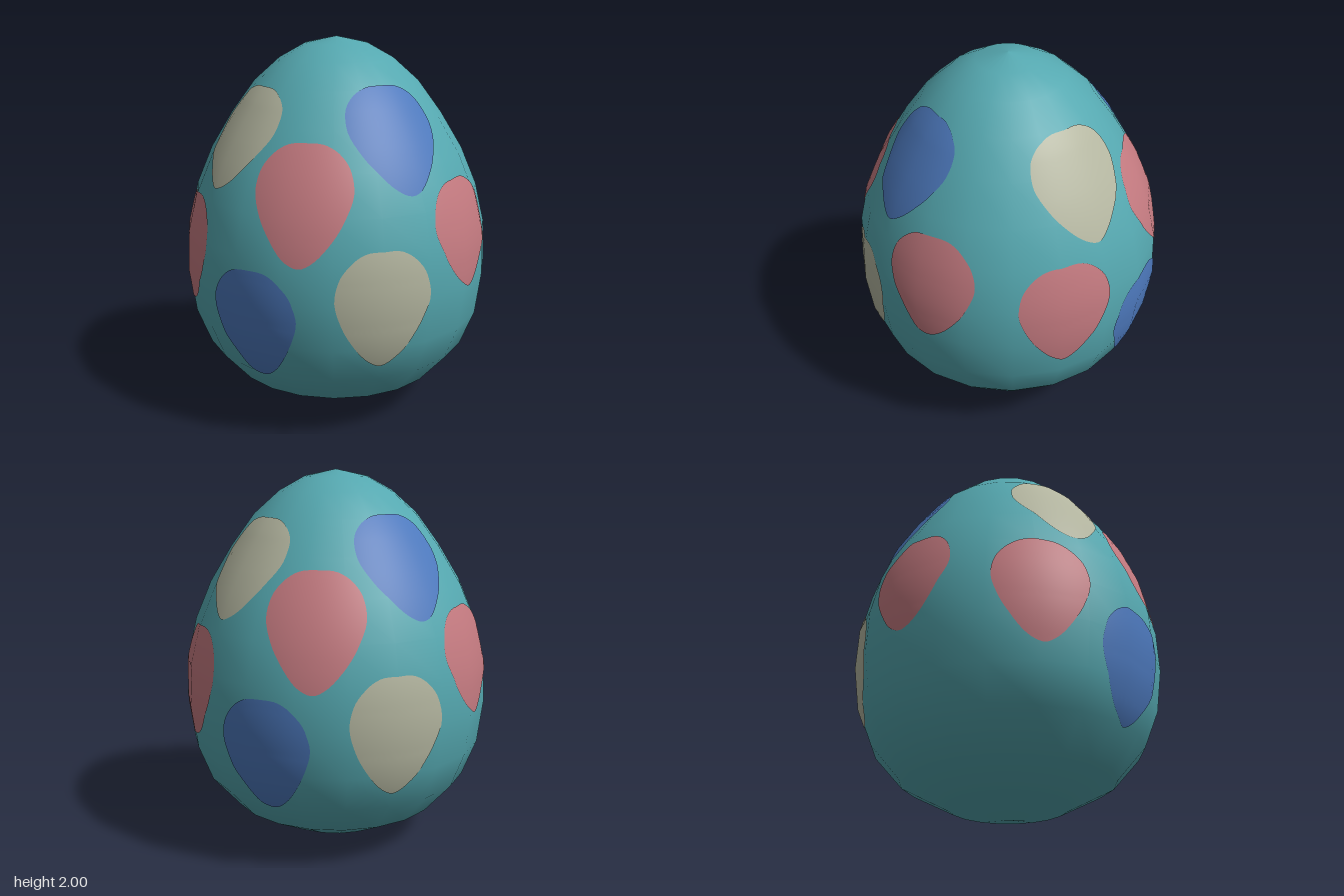
import * as THREE from 'three';

const SIDES = 20;
const LIFT = 0.005;

// Shell profile from base to tip: radius, height
const PROFILE = [
  [0, 0.003], [0.31, 0.06], [0.565, 0.19], [0.715, 0.36], [0.79, 0.55], [0.82, 0.78], [0.81, 1.0],
  [0.76, 1.21], [0.675, 1.41], [0.56, 1.6], [0.435, 1.77], [0.3, 1.89], [0.165, 1.965], [0, 2],
];

// Half outline of a spot: half width (0..1), height (0..1)
const SPOT = [[0, 0], [0.32, 0.07], [0.65, 0.24], [0.86, 0.4], [1, 0.6], [0.92, 0.77], [0.7, 0.9], [0.38, 0.985], [0, 1]];
const SPOT_HALF_WIDTH = 0.25;

// Azimuth in degrees from the front, bottom and top height; each repeats half a turn round
const SPOTS = [
  ['cream', 0, 0.45, 1.055],
  ['pink', -30, 0.975, 1.54],
  ['pink', 40, 0.775, 1.325],
  ['blue', 14, 1.29, 1.785],
  ['blue', -48.5, 0.35, 0.935],
  ['cream', -73, 1.275, 1.765],
  ['pink', 91.5, 0.64, 1.215],
];

// Shell radius at a height
function radiusAt(y) {
  let i = 1;
  while (i < PROFILE.length - 1 && PROFILE[i][1] < y) i++;
  const [r0, y0] = PROFILE[i - 1], [r1, y1] = PROFILE[i];
  return THREE.MathUtils.lerp(r0, r1, (y - y0) / (y1 - y0));
}

// Smooth outward direction of the shell
function normalAt(az, y) {
  const slope = (radiusAt(y + 0.1) - radiusAt(y - 0.1)) / 0.2;
  return new THREE.Vector3(Math.sin(az), -slope, Math.cos(az)).normalize();
}

// Point on the many-sided shell
function pointAt(az, y) {
  const step = (2 * Math.PI) / SIDES;
  const delta = THREE.MathUtils.euclideanModulo(az, step) - step / 2;
  const r = (radiusAt(y) * Math.cos(step / 2)) / Math.cos(delta);
  return new THREE.Vector3(r * Math.sin(az), y, r * Math.cos(az));
}

// Thin patch that follows the shell, built in rings from its middle
function spotGeometry(azimuth, bottom, top) {
  const rings = 10, around = 64, midT = 0.55;
  const right = SPOT.map(([w, t]) => new THREE.Vector3(w, t, 0));
  const left = SPOT.slice(1, -1).reverse().map(([w, t]) => new THREE.Vector3(-w, t, 0));
  const outline = new THREE.CatmullRomCurve3([...right, ...left], true).getPoints(around);
  const positions = [], normals = [], index = [];
  for (let j = 0; j <= rings; j++) {
    for (const p of outline) {
      const k = j / rings;
      const y = THREE.MathUtils.lerp(bottom, top, midT + (p.y - midT) * k);
      const az = azimuth + (p.x * k * SPOT_HALF_WIDTH) / radiusAt(y);
      const n = normalAt(az, y);
      positions.push(...pointAt(az, y).addScaledVector(n, LIFT).toArray());
      normals.push(...n.toArray());
    }
  }
  const row = around + 1;
  for (let j = 0; j < rings; j++) {
    for (let i = 0; i < around; i++) {
      const a = j * row + i, b = a + row;
      index.push(a, b, b + 1);
      if (j > 0) index.push(a, b + 1, a + 1);
    }
  }
  const geometry = new THREE.BufferGeometry();
  geometry.setAttribute('position', new THREE.Float32BufferAttribute(positions, 3));
  geometry.setAttribute('normal', new THREE.Float32BufferAttribute(normals, 3));
  geometry.setIndex(index);
  return geometry;
}

export function createModel() {
  const colours = { teal: 0x55a8b0, blue: 0x4d79bd, pink: 0xc47a80, cream: 0xb4b6a0 };
  const materials = {};
  for (const [name, color] of Object.entries(colours)) {
    materials[name] = new THREE.MeshStandardMaterial({ color });
    materials[name].name = name;
  }

  const egg = new THREE.Group();
  egg.name = 'egg';

  // Shell
  const points = PROFILE.map(([r, y]) => new THREE.Vector2(r, y));
  const shell = new THREE.Mesh(new THREE.LatheGeometry(points, SIDES), materials.teal);
  shell.name = 'shell';
  egg.add(shell);

  // Painted spots, in opposite pairs
  for (const [colour, degrees, bottom, top] of SPOTS) {
    for (const turn of [0, 180]) {
      const azimuth = THREE.MathUtils.degToRad(degrees + turn);
      const spot = new THREE.Mesh(spotGeometry(azimuth, bottom, top), materials[colour]);
      spot.name = `${colour}Spot`;
      egg.add(spot);
    }
  }
  return egg;
}
